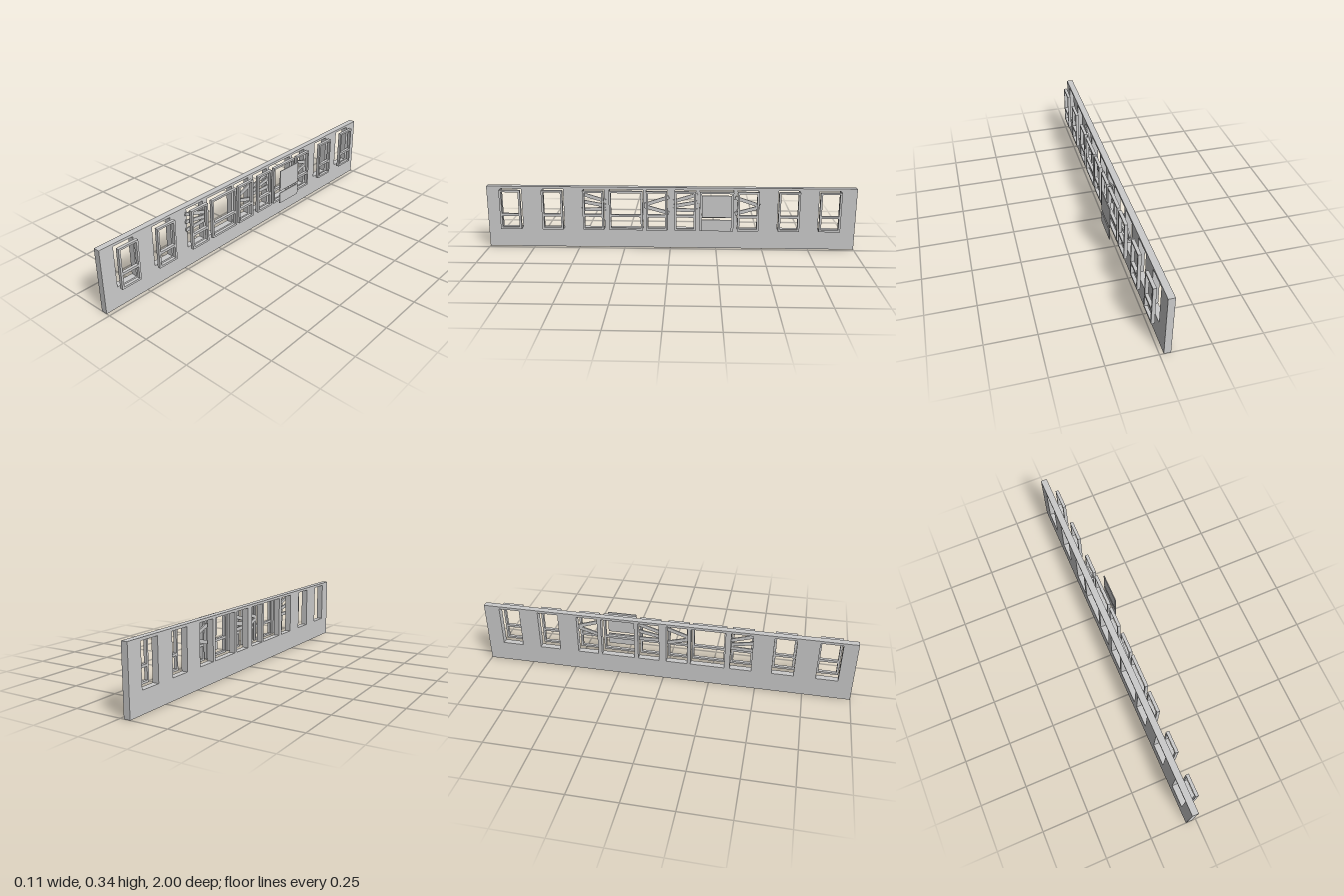
import * as THREE from 'three';

const material = new THREE.MeshStandardMaterial({ color: 0xcccccc, flatShading: true });

// Window centres along z, and half widths
const NARROW = 0.057, WIDE = 0.091;
const windows = [
  [0.867, NARROW], [0.638, NARROW], [0.416, NARROW], [0.239, WIDE], [0.073, NARROW],
  [-0.081, NARROW], [-0.25, WIDE], [-0.419, NARROW], [-0.638, NARROW], [-0.857, NARROW],
];
const BOTTOM = 0.11, TOP = 0.327;

function rect(path, u0, u1, v0, v1) {
  path.moveTo(u0, v0);
  path.lineTo(u1, v0);
  path.lineTo(u1, v1);
  path.lineTo(u0, v1);
  path.closePath();
  return path;
}

// Extrudes a side-on shape (u = -z, v = y) from x0 to x1
function slab(name, shape, x0, x1) {
  const geometry = new THREE.ExtrudeGeometry(shape, { depth: x1 - x0, bevelEnabled: false });
  geometry.rotateY(Math.PI / 2);
  geometry.translate(x0, 0, 0);
  const mesh = new THREE.Mesh(geometry, material);
  mesh.name = name;
  return mesh;
}

// Board between two (z, y) end points
function plank(x, thickness, zA, yA, zB, yB) {
  const length = Math.hypot(zB - zA, yB - yA);
  const mesh = new THREE.Mesh(new THREE.BoxGeometry(thickness, 0.019, length), material);
  mesh.position.set(x, (yA + yB) / 2, (zA + zB) / 2);
  mesh.rotation.x = -Math.atan2(yB - yA, zB - zA);
  mesh.name = 'plank';
  return mesh;
}

// Fan of boards, spread at the +z end (dir = 1) or the -z end (dir = -1)
function boards(z, dir, x, thickness, rows) {
  const group = new THREE.Group();
  group.name = 'windowBoards';
  for (const [ySpread, yClosed] of rows) {
    group.add(plank(x, thickness, z + dir * 0.066, ySpread, z - dir * 0.066, yClosed));
  }
  return group;
}

export function createModel() {
  const model = new THREE.Group();
  model.name = 'windowWall';

  // Wall with window openings
  const wall = rect(new THREE.Shape(), -1, 1, 0, 0.341);
  for (const [z, h] of windows) {
    wall.holes.push(rect(new THREE.Path(), -z - h, -z + h, BOTTOM, TOP));
  }
  model.add(slab('wall', wall, -0.054, -0.02));

  // Two-light frames standing in front of the openings
  for (const [z, h] of windows) {
    const frame = rect(new THREE.Shape(), -z - h, -z + h, BOTTOM, TOP);
    const inner = h - 0.011;
    frame.holes.push(rect(new THREE.Path(), -z - inner, -z + inner, 0.121, 0.184));
    frame.holes.push(rect(new THREE.Path(), -z - inner, -z + inner, 0.197, 0.317));
    model.add(slab('windowFrame', frame, 0, 0.017));
  }

  // Loose panes of the second wide window
  for (const [name, y0, y1] of [['lowerPane', 0.121, 0.184], ['upperPane', 0.197, 0.317]]) {
    const pane = new THREE.Mesh(new THREE.BoxGeometry(0.005, y1 - y0, 0.158), material);
    pane.position.set(0.05, (y0 + y1) / 2, -0.249);
    pane.name = name;
    model.add(pane);
  }

  // Boards nailed across the four middle narrow windows
  const three = [[0.305, 0.264], [0.262, 0.238], [0.215, 0.219]];
  const two = [[0.291, 0.247], [0.201, 0.239]];
  model.add(boards(0.418, 1, -0.0165, 0.007, three));
  model.add(boards(-0.081, -1, -0.0165, 0.007, three));
  model.add(boards(0.073, -1, -0.009, 0.008, two));
  model.add(boards(-0.415, 1, -0.009, 0.008, two));

  return model;
}
